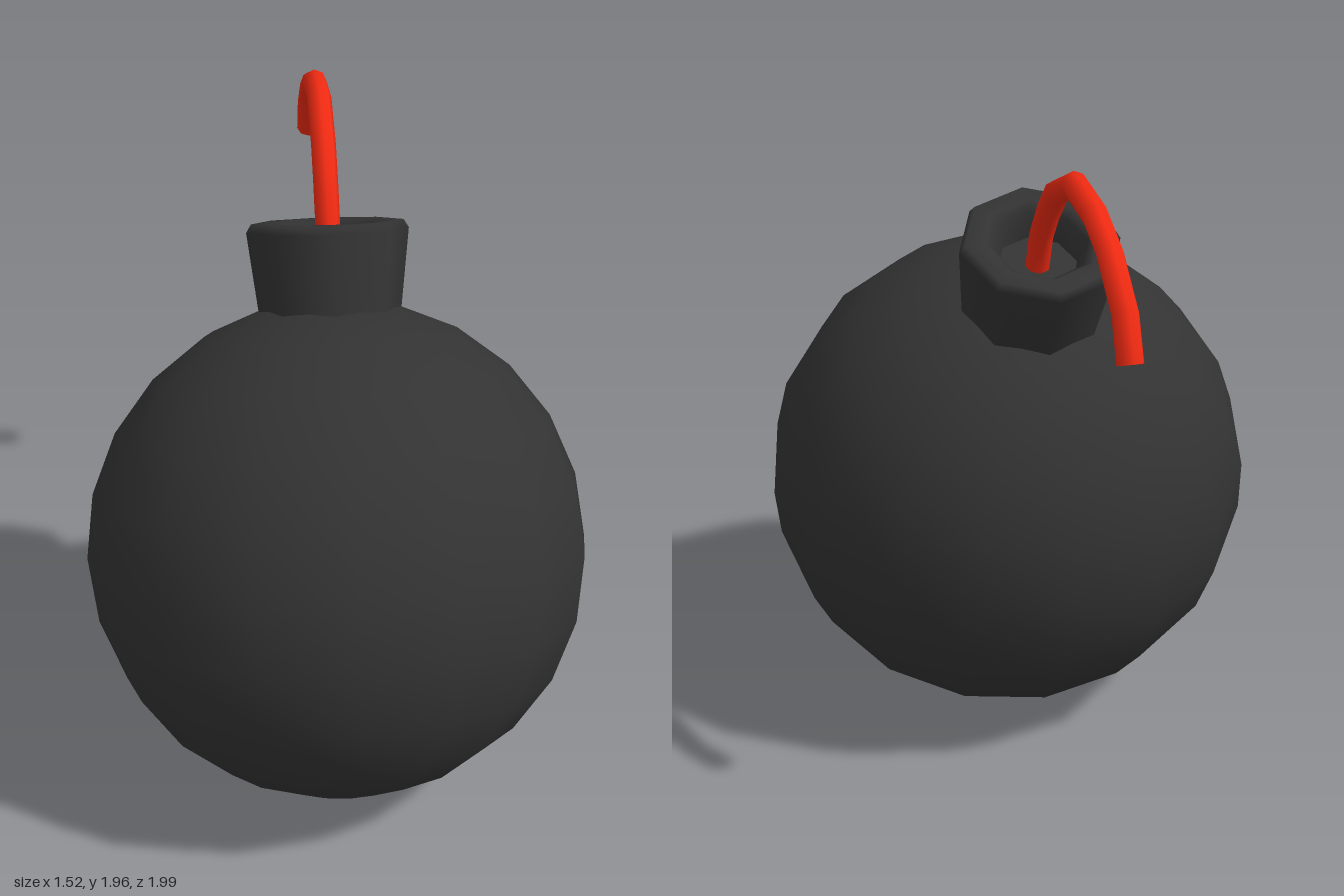
import * as THREE from 'three';

const TILT = -THREE.MathUtils.degToRad(23.5);
const iron = new THREE.MeshStandardMaterial({ color: 0x333333 });
const red = new THREE.MeshStandardMaterial({ color: 0xf02a12 });

function part(name, geometry, material) {
  const mesh = new THREE.Mesh(geometry, material);
  mesh.name = name;
  return mesh;
}

export function createModel() {
  const model = new THREE.Group();
  model.name = 'bomb';

  // Body and neck share one axis that leans backwards
  const shell = new THREE.Group();
  shell.name = 'shell';
  shell.position.set(0, 0.755, 0.245);
  shell.rotation.x = TILT;
  model.add(shell);

  shell.add(part('body', new THREE.SphereGeometry(0.76, 16, 12), iron));

  // Eight-sided neck, flaring to a bevelled rim with a funnel inside
  const profile = [
    [0.205, 0.65], [0.242, 0.962], [0.227, 0.987], [0.17, 0.987], [0.142, 0.965], [0.12, 0.885],
  ].map(([r, y]) => new THREE.Vector2(r, y));
  shell.add(part('neck', new THREE.LatheGeometry(profile, 8), iron));

  const floor = part('neckFloor', new THREE.CircleGeometry(0.12, 8), iron);
  floor.rotation.x = -Math.PI / 2;
  floor.position.y = 0.885;
  shell.add(floor);

  // Fuse arching backwards, with one ring at each path point
  const path = [
    [1.56, -0.105], [1.67, -0.145], [1.765, -0.217], [1.845, -0.297], [1.92, -0.463],
    [1.893, -0.65], [1.834, -0.778], [1.717, -0.912], [1.6, -0.96],
  ].map(([y, z]) => new THREE.Vector3(0, y, z));
  const curve = new THREE.CatmullRomCurve3(path);
  curve.getPointAt = curve.getPoint;
  curve.getTangentAt = curve.getTangent;
  const radius = 0.037;
  model.add(part('fuse', new THREE.TubeGeometry(curve, path.length - 1, radius, 8), red));

  // Flat tip closing the fuse
  const tip = part('fuseTip', new THREE.CircleGeometry(radius, 8), red);
  tip.position.copy(path[path.length - 1]);
  tip.quaternion.setFromUnitVectors(new THREE.Vector3(0, 0, 1), curve.getTangent(1));
  model.add(tip);

  return model;
}
